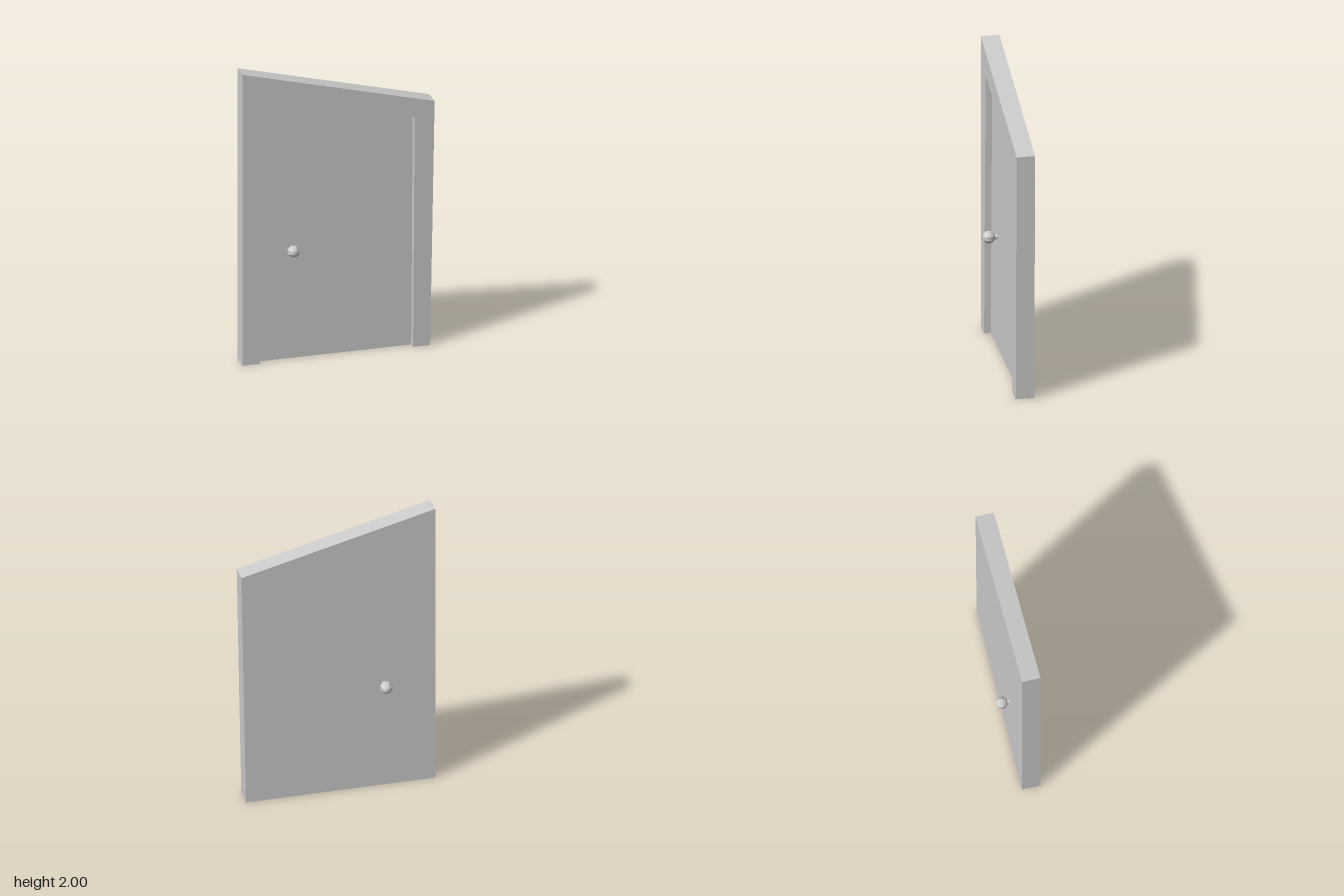
import * as THREE from 'three';

const BACK = -0.04, FRONT = 0.08, RECESS = 0.037;
const material = new THREE.MeshStandardMaterial({ color: 0xcccccc, flatShading: true, side: THREE.DoubleSide });

// Skewed outlines, from bottom left over the top to bottom right
const outer = [[-0.64, 0], [-0.64, 2], [0.635, 1.675], [0.605, 0]];
const inner = [[-0.525, 0], [-0.47, 1.8], [0.502, 1.58], [0.492, 0]];

// Band of quads between two paths, each at its own depth
function band(name, pathA, zA, pathB, zB) {
  const pos = [];
  for (let i = 0; i < pathA.length - 1; i++) {
    const a = [...pathA[i], zA], b = [...pathA[i + 1], zA];
    const c = [...pathB[i + 1], zB], d = [...pathB[i], zB];
    pos.push(...a, ...b, ...c, ...a, ...c, ...d);
  }
  const geo = new THREE.BufferGeometry();
  geo.setAttribute('position', new THREE.Float32BufferAttribute(pos, 3));
  geo.computeVertexNormals();
  const mesh = new THREE.Mesh(geo, material);
  mesh.name = name;
  return mesh;
}

// Round knob on a short neck, turned about the z axis
function knob(name, zSurface, direction) {
  const r = 0.041, centre = 0.056;
  const profile = [new THREE.Vector2(0.017, -0.005)];
  for (let i = 1; i <= 6; i++) {
    const t = (i / 6) * (Math.PI - 0.43) + 0.43;
    if (i === 1) profile.push(new THREE.Vector2(0.017, centre - r * Math.cos(0.43)));
    profile.push(new THREE.Vector2(Math.max(0, r * Math.sin(t)), centre - r * Math.cos(t)));
  }
  const geo = new THREE.LatheGeometry(profile, 8, Math.PI / 8);
  geo.rotateX(direction * Math.PI / 2);
  const mesh = new THREE.Mesh(geo, material);
  mesh.position.set(-0.304, 0.752, zSurface);
  mesh.name = name;
  return mesh;
}

export function createModel() {
  const model = new THREE.Group();
  model.name = 'crookedDoor';

  // Hollow frame, open underneath
  const frame = new THREE.Group();
  frame.name = 'frame';
  frame.add(
    band('frameFront', outer, FRONT, inner, FRONT),
    band('frameSides', outer, BACK, outer, FRONT),
    band('frameJambs', inner, FRONT, inner, RECESS),
    band('frameBack', [outer[0], outer[3]], BACK, [outer[1], outer[2]], BACK),
  );

  // Solid door panel set back in the frame
  const shape = new THREE.Shape(inner.map(([x, y]) => new THREE.Vector2(x, y)));
  const depth = RECESS - BACK - 0.002;
  const panel = new THREE.Mesh(new THREE.ExtrudeGeometry(shape, { depth, bevelEnabled: false }), material);
  panel.position.z = BACK + 0.002;
  panel.name = 'doorPanel';

  model.add(frame, panel, knob('frontKnob', RECESS - 0.003, 1), knob('backKnob', BACK, -1));
  return model;
}
